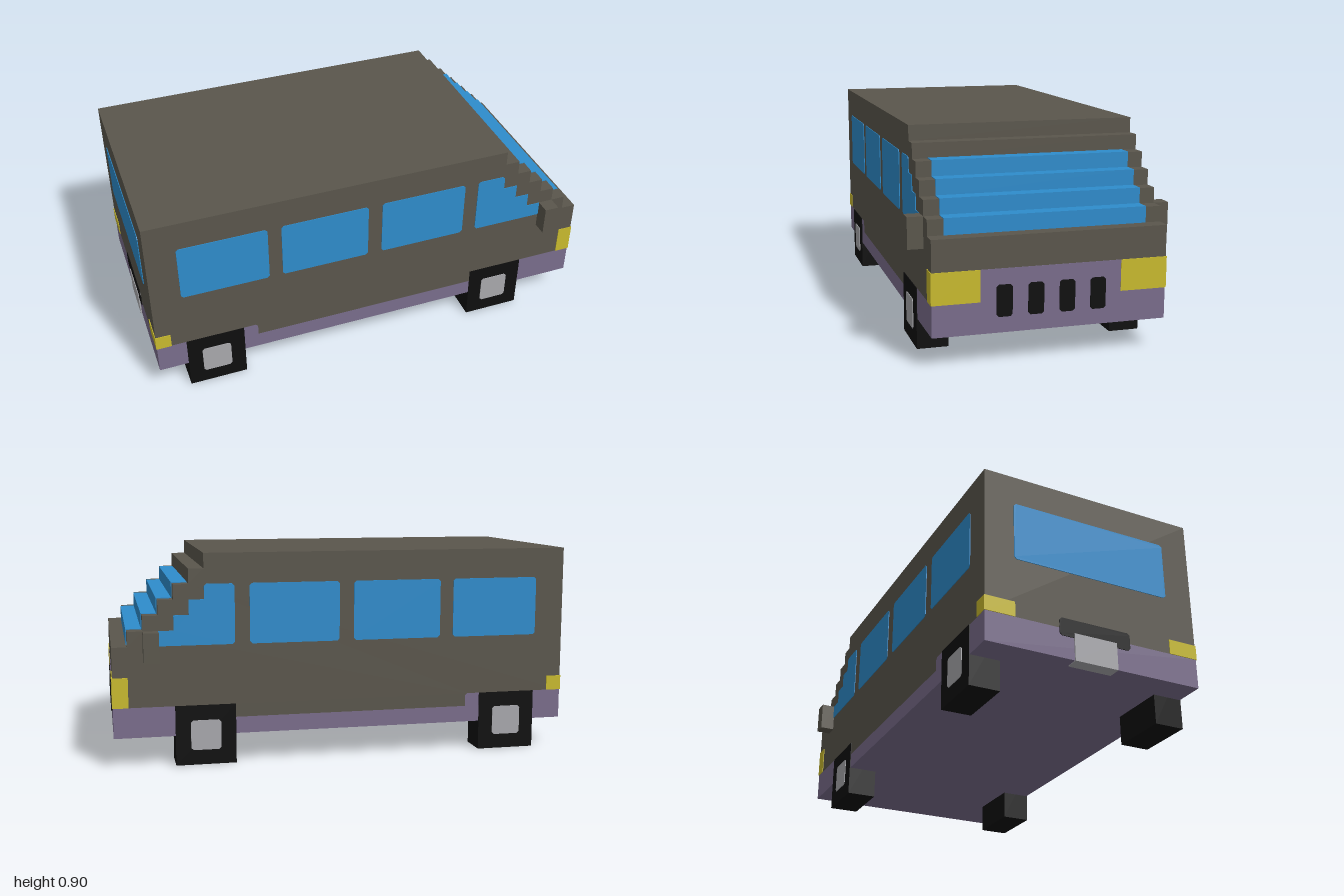
import * as THREE from 'three';

const U = 2 / 31;            // block size
const W = 7.5 * U;           // half width of the body
const T = 0.003;             // how far painted plates stand out

const mat = (name, color) => {
  const m = new THREE.MeshStandardMaterial({ color });
  m.name = name;
  return m;
};

export function createModel() {
  const group = new THREE.Group();
  const paint = mat('body paint', 0x5a564c);
  const trim = mat('purple trim', 0x7a6d8c);
  const glass = mat('blue glass', 0x2e8ccc);
  const lamp = mat('yellow lamp', 0xc9bb2e);
  const rubber = mat('black rubber', 0x0e0e0e);
  const metal = mat('pale metal', 0xa9a9ad);

  const X = (u) => -1 + u * U; // blocks from the rear to x
  const add = (name, geo, material, parent = group) => {
    const m = new THREE.Mesh(geo, material);
    m.name = name;
    parent.add(m);
    return m;
  };
  // Box given by its limits
  const box = (name, material, x0, x1, y0, y1, z0, z1) => {
    const m = add(name, new THREE.BoxGeometry(x1 - x0, y1 - y0, z1 - z0), material);
    m.position.set((x0 + x1) / 2, (y0 + y1) / 2, (z0 + z1) / 2);
    return m;
  };
  // Side outline extruded from z0 to z1
  const slab = (name, material, pts, z0, z1) => {
    const shape = new THREE.Shape(pts.map(([x, y]) => new THREE.Vector2(x, y)));
    const geo = new THREE.ExtrudeGeometry(shape, { depth: z1 - z0, bevelEnabled: false });
    geo.translate(0, 0, z0);
    return add(name, geo, material);
  };
  // Rectangle with clipped corners
  const clipped = (a0, a1, b0, b1, c = 0.01) => [
    [a0 + c, b0], [a1 - c, b0], [a1, b0 + c], [a1, b1 - c],
    [a1 - c, b1], [a0 + c, b1], [a0, b1 - c], [a0, b0 + c]];
  // The same plate on both flanks
  const flanks = (name, material, pts, t = T) => {
    slab(name + 'Left', material, pts, W - T, W + t);
    slab(name + 'Right', material, pts, -W - t, -W + T);
  };
  // Plate facing along x, outlined in z and y
  const endPlate = (name, material, pts, x) => {
    const m = slab(name, material, pts, -T, T);
    m.rotation.y = Math.PI / 2;
    m.position.x = x;
  };

  // Upper body with its stepped nose
  const sill = 0.2, seam = 4 * U;
  const dip0 = X(7), dip1 = X(23);
  const steps = [[X(25), 14 * U]];
  for (let i = 0; i < 6; i++) steps.push([X(25 + i), (13 - i) * U], [X(26 + i), (13 - i) * U]);
  slab('body', paint, [
    [-1, seam], [dip0 - 0.01, seam], [dip0, seam - 0.01], [dip0, sill],
    [dip1, sill], [dip1, seam], [1, seam], ...steps.reverse(), [-1, 14 * U]], -W, W);

  // Lower trim and floor
  slab('lowerTrim', trim, [
    [-1, 2 * U], [1, 2 * U], [1, seam], [dip1, seam], [dip1, sill],
    [dip0, sill], [dip0, seam - 0.01], [dip0 - 0.01, seam], [-1, seam]], -W, W);

  // Side windows; the last follows the nose
  const low = 8 * U, high = 12 * U;
  [[-0.871, -0.484], [-0.424, -0.034], [0.03, 0.42]].forEach(([a, b], i) =>
    flanks('sideWindow' + (i + 1), glass, clipped(a, b, low, high)));
  flanks('cabWindow', glass, [
    [X(23) + 0.01, low], [X(28), low], [X(28), 9 * U], [X(27), 9 * U], [X(27), 10 * U],
    [X(26), 10 * U], [X(26), 11 * U], [X(25), 11 * U], [X(25), high - 0.01], [X(25) - 0.01, high],
    [X(23) + 0.01, high], [X(23), high - 0.01], [X(23), low + 0.01]]);

  // Windscreen: treads and risers of the steps
  for (let i = 0; i < 4; i++) {
    const x0 = X(26 + i), x1 = X(27 + i), y = (12 - i) * U;
    box('windscreenTread', glass, x0, x1 + T, y - T, y + T, -6.5 * U, 6.5 * U);
    box('windscreenRiser', glass, x1 - T, x1 + T, y - U, y + T, -6.5 * U, 6.5 * U);
  }
  endPlate('rearWindow', glass, clipped(-5.5 * U, 5.5 * U, low, high), -1);

  // Nose panel and grille slots
  box('nosePanel', trim, 1 - T, 1 + T / 2, seam - 0.01, 6 * U, -4.5 * U, 4.5 * U);
  for (const k of [-3, -1, 1, 3])
    endPlate('grilleSlot', rubber, clipped((k - 0.5) * U, (k + 0.5) * U, 3 * U, 5 * U, 0.009), 1 + T / 2);

  for (const s of [1, -1]) {
    const side = s > 0 ? 'Left' : 'Right';
    const span = (a, b) => (s > 0 ? [a, b] : [-b, -a]);
    // Lamps wrap round the corners
    box('headlamp' + side, lamp, X(30), 1 + T, seam, 6 * U, ...span(4.5 * U, W + T));
    box('tailLamp' + side, lamp, -1 - T, X(1), seam, 5 * U, ...span(5.5 * U, W + T));
    // Door mirror
    box('mirror' + side, paint, X(28), X(29), 7 * U, 9 * U, ...span(W, W + U));
    // Square wheels and hubs
    for (const [end, u] of [['rear', 2], ['front', 23]]) {
      box(end + 'Wheel' + side, rubber, X(u), X(u + 4), 0, 4 * U, ...span(W - 2 * U, W + T));
    }
  }
  for (const [end, u] of [['rear', 2], ['front', 23]])
    flanks(end + 'Hub', metal, clipped(X(u + 1), X(u + 3), U, 3 * U), 2 * T);

  // Rear plate with its dark holder
  endPlate('plateHolder', rubber, clipped(-2.5 * U, 2.5 * U, 3.5 * U, 4.7 * U), -1);
  box('rearPlate', metal, -1 - 2 * T, X(0.8), 2 * U - T, 3.8 * U, -1.5 * U, 1.5 * U);

  return group;
}
